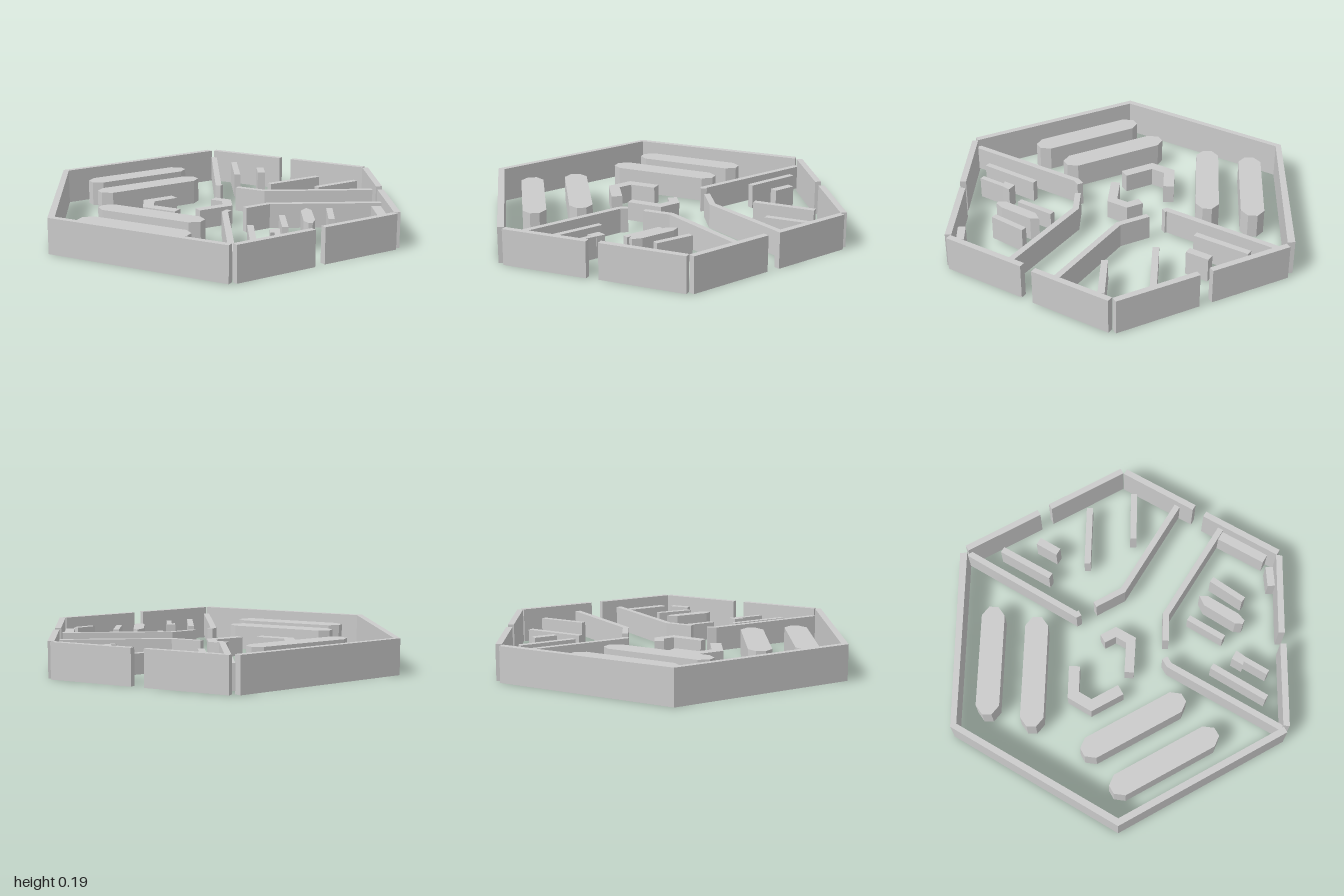
import * as THREE from 'three';

const material = new THREE.MeshStandardMaterial({ color: 0xcccccc, flatShading: true });

// Upright prism from a floor-plan outline of [x, z] points
function prism(name, outline, y0, y1) {
  const shape = new THREE.Shape(outline.map(([x, z]) => new THREE.Vector2(x, -z)));
  const geo = new THREE.ExtrudeGeometry(shape, { depth: y1 - y0, bevelEnabled: false });
  geo.rotateX(-Math.PI / 2).translate(0, y0, 0);
  const mesh = new THREE.Mesh(geo, material);
  mesh.name = name;
  return mesh;
}

// Outline of constant width along a centre line, with mitred corners
function strip(points, width) {
  const pts = points.map(([x, z]) => new THREE.Vector2(x, z));
  const sides = [[], []];
  pts.forEach((p, i) => {
    const a = p.clone().sub(pts[Math.max(i - 1, 0)]).normalize();
    const b = pts[Math.min(i + 1, pts.length - 1)].clone().sub(p).normalize();
    const dir = a.clone().add(b).normalize();
    const normal = new THREE.Vector2(-dir.y, dir.x);
    const ref = b.lengthSq() ? b : a;
    const reach = width / 2 / Math.abs(dir.dot(ref));
    sides[0].push([p.x + normal.x * reach, p.y + normal.y * reach]);
    sides[1].unshift([p.x - normal.x * reach, p.y - normal.y * reach]);
  });
  return [...sides[0], ...sides[1]];
}

// Bar with chamfered ends
function lozenge([x1, z1], [x2, z2], width) {
  const len = Math.hypot(x2 - x1, z2 - z1);
  const ux = (x2 - x1) / len, uz = (z2 - z1) / len, w = width / 2, h = len / 2;
  const local = [[-h, -w * 0.4], [-h + w * 0.8, -w], [h - w * 0.8, -w], [h, -w * 0.4],
    [h, w * 0.4], [h - w * 0.8, w], [-h + w * 0.8, w], [-h, w * 0.4]];
  return local.map(([s, t]) => [(x1 + x2) / 2 + s * ux - t * uz, (z1 + z2) / 2 + s * uz + t * ux]);
}

export function createModel() {
  const model = new THREE.Group();
  model.name = 'hexagonalBuilding';
  const FLOOR = 0.015, TOP = 0.145, WALL = 0.185;
  const add = (...args) => model.add(prism(...args));

  // Outer hexagon with door gaps
  const outer = [
    [[-1, 0], [-0.52, -0.845], [-0.485, -0.83], [-0.965, 0], [-0.48, 0.832], [0.49, 0.832], [0.49, 0.866], [-0.5, 0.866]],
    strip([[-0.475, -0.853], [-0.035, -0.853]], 0.033),
    strip([[0.035, -0.853], [0.485, -0.853]], 0.033),
    strip([[0.5, -0.84], [0.72, -0.465]], 0.033),
    strip([[0.75, -0.403], [0.98, -0.012]], 0.033),
    strip([[0.975, 0.005], [0.752, 0.39]], 0.033),
    strip([[0.727, 0.447], [0.505, 0.835]], 0.033),
  ];
  outer.forEach((o) => add('outerWall', o, 0, WALL));

  // Inner dividing walls
  const dividers = [
    [[-0.475, -0.84], [-0.135, -0.24], [-0.115, -0.24]],
    [[-0.022, -0.243], [0.15, -0.243], [0.655, -0.535]],
    [[0.205, 0.12], [0.28, -0.01], [0.795, -0.3]],
    [[0.153, 0.2], [0.153, 0.245], [0.49, 0.83]],
  ];
  dividers.forEach((d) => add('dividingWall', strip(d, 0.032), FLOOR, TOP));

  // Wide chamfered benches
  const benches = [
    [[-0.47, 0.438], [0.13, 0.438]],
    [[-0.435, 0.68], [0.185, 0.68]],
    [[-0.805, 0.02], [-0.5, -0.495]],
    [[-0.635, 0.19], [-0.325, -0.33]],
  ];
  benches.forEach(([a, b]) => add('bench', lozenge(a, b, 0.122), FLOOR, TOP));

  // Bent counters around the centre
  add('centreCounter', strip([[-0.28, 0], [-0.36, 0.135], [-0.305, 0.232], [-0.13, 0.232]], 0.058), FLOOR, 0.115);
  add('centreCounter', strip([[-0.075, -0.062], [0.005, -0.062], [0.052, 0.018], [-0.045, 0.17]], 0.05), FLOOR, 0.115);

  // Short partitions: start, end, width, top
  const partitions = [
    [[-0.305, -0.77], [-0.15, -0.505], 0.034, TOP],
    [[-0.11, -0.72], [-0.047, -0.61], 0.042, TOP],
    [[0.235, -0.77], [0.063, -0.483], 0.034, 0.12],
    [[0.487, -0.72], [0.35, -0.485], 0.034, 0.135],
    [[0.385, 0.055], [0.49, 0.245], 0.032, 0.11],
    [[0.597, -0.065], [0.685, 0.12], 0.032, TOP],
    [[0.35, 0.355], [0.51, 0.645], 0.032, 0.13],
    [[0.51, 0.39], [0.588, 0.53], 0.028, 0.13],
  ];
  partitions.forEach(([a, b, w, top]) => add('partition', strip([a, b], w), FLOOR, top));
  add('partitionHead', [[0.462, 0.372], [0.507, 0.345], [0.527, 0.39], [0.495, 0.432]], FLOOR, 0.13);
  add('island', [[0.49, -0.015], [0.53, 0.01], [0.62, 0.175], [0.628, 0.225], [0.61, 0.237], [0.575, 0.215], [0.485, 0.045]], FLOOR, TOP);

  // Counters fixed against the right walls
  add('wallCounter', strip([[0.775, -0.27], [0.915, -0.032]], 0.05), FLOOR, 0.13);
  add('wallCounter', strip([[0.91, 0.02], [0.862, 0.12]], 0.04), FLOOR, 0.13);

  return model;
}
